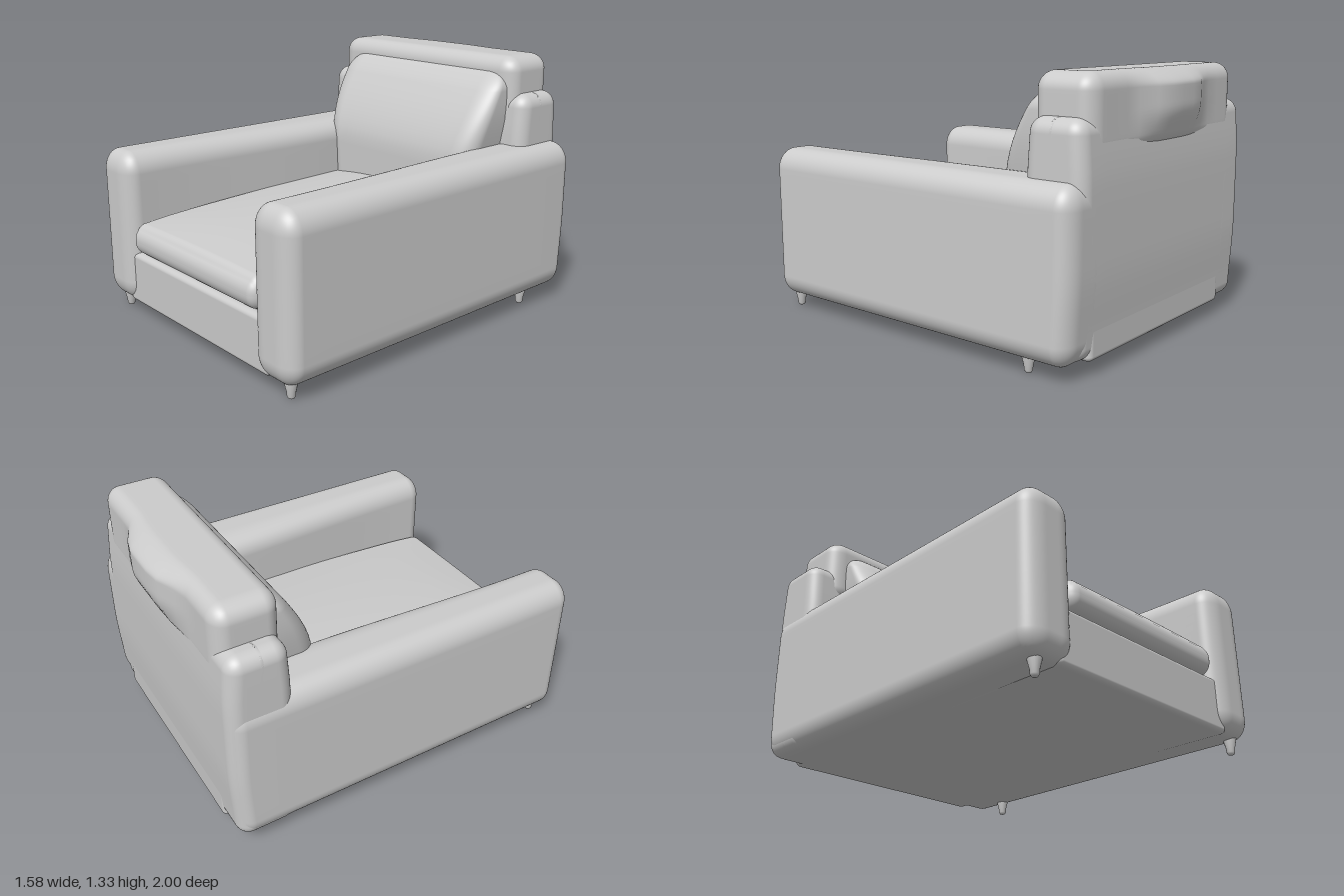
import * as THREE from 'three';
import { mergeVertices } from 'three/addons/utils/BufferGeometryUtils.js';

const N = 28; // segments per box edge
const C = 8;  // segments given to each rounded corner
const smooth = THREE.MathUtils.smoothstep;
const material = new THREE.MeshStandardMaterial({ color: 0xcccccc });

// Upholstered block: min and max corners, a corner radius per axis, optional warp of its vertices
function softBox(name, min, max, radii, warp) {
  const box = new THREE.BoxGeometry(1, 1, 1, N, N, N);
  box.deleteAttribute('uv');
  box.deleteAttribute('normal');
  const g = mergeVertices(box);
  const pos = g.attributes.position;
  const v = new THREE.Vector3();
  for (let i = 0; i < pos.count; i++) {
    const base = [], d = [];
    for (let a = 0; a < 3; a++) {
      const k = Math.round((pos.getComponent(i, a) + 0.5) * N);
      const lo = min[a] + radii[a], hi = max[a] - radii[a];
      if (k < C) { base[a] = lo; d[a] = -Math.tan((1 - k / C) * Math.PI / 4); }
      else if (k > N - C) { base[a] = hi; d[a] = Math.tan((k - N + C) / C * Math.PI / 4); }
      else { base[a] = lo + (hi - lo) * (k - C) / (N - 2 * C); d[a] = 0; }
    }
    const len = Math.hypot(...d);
    const s = len > 0 ? Math.max(...d.map(Math.abs)) / len : 0;
    v.set(...base.map((b, a) => b + d[a] * s * radii[a]));
    if (warp) warp(v);
    pos.setXYZ(i, v.x, v.y, v.z);
  }
  g.computeVertexNormals();
  const mesh = new THREE.Mesh(g, material);
  mesh.name = name;
  return mesh;
}

function leg(name, x, z) {
  const profile = [[0, 0], [0.014, 0.002], [0.02, 0.012], [0.022, 0.035], [0.033, 0.08], [0.036, 0.14]];
  const g = new THREE.LatheGeometry(profile.map(p => new THREE.Vector2(...p)), 16);
  const mesh = new THREE.Mesh(g, material);
  mesh.name = name;
  mesh.position.set(x, 0, z);
  return mesh;
}

export function createModel() {
  const group = new THREE.Group();
  group.name = 'armchair';

  // Base under the seat
  group.add(softBox('base', [-0.6, 0.07, -0.93], [0.6, 0.345, 0.96], [0.03, 0.025, 0.03]));

  // Arms, whose inner faces swell towards the back
  for (const side of [-1, 1]) {
    const min = side < 0 ? [-0.79, 0.07, -0.945] : [0.51, 0.07, -0.945];
    const max = side < 0 ? [-0.51, 0.87, 0.99] : [0.79, 0.87, 0.99];
    group.add(softBox(side < 0 ? 'rightArm' : 'leftArm', min, max, [0.1, 0.11, 0.08], v => {
      const inner = 1 - smooth(Math.abs(v.x), 0.51, 0.68);
      v.x -= side * 0.06 * inner * (1 - smooth(v.z, -0.5, 0.9));
      // softer lower back corner
      v.z += 0.02 * (1 - smooth(v.y, 0.07, 0.5)) * (1 - smooth(v.z, -0.94, -0.6));
    }));
  }

  // Back frame, reaching further out on the right than on the left
  group.add(softBox('backFrame', [-0.78, 0.075, -0.945], [0.69, 1.135, -0.62], [0.07, 0.07, 0.07], v => {
    const t = smooth(v.y, 0.85, 1.13);
    v.z += (v.z > -0.78 ? -0.015 : 0.015) * t;
    if (v.z < -0.78) v.z += 0.02 * (1 - smooth(v.y, 0.07, 0.5));
  }));

  // Top roll of the back with a hump behind
  group.add(softBox('backRoll', [-0.675, 0.95, -0.935], [0.62, 1.325, -0.615], [0.09, 0.08, 0.075], v => {
    const across = smooth(v.x, -0.4, -0.15) * (1 - smooth(v.x, 0.08, 0.28));
    const up = smooth(v.y, 0.93, 1.16) * (1 - smooth(v.y, 1.25, 1.34) * 0.8);
    if (v.z < -0.8) v.z -= 0.07 * across * up;
  }));

  // Back cushion leaning out towards the seat
  group.add(softBox('backCushion', [-0.58, 0.45, -0.8], [0.58, 1.25, -0.36], [0.12, 0.1, 0.1], v => {
    const t = THREE.MathUtils.clamp((v.y - 0.8) / 0.45, 0, 1);
    const front = THREE.MathUtils.clamp((v.z + 0.8) / 0.44, 0, 1);
    v.z -= 0.23 * Math.pow(t, 1.5) * front;
    v.x *= 1 - 0.12 * (1 - smooth(v.y, 0.55, 1.1));
  }));

  // Seat cushion, crowned and rising towards the back
  group.add(softBox('seatCushion', [-0.52, 0.35, -0.7], [0.52, 0.5, 0.975], [0.05, 0.07, 0.06], v => {
    const top = smooth(v.y, 0.38, 0.5);
    const depth = THREE.MathUtils.clamp((0.95 - v.z) / 1.3, 0, 1);
    const crown = 1 - Math.pow(Math.abs(v.x) / 0.52, 2);
    v.y += top * (0.06 * Math.sqrt(depth) + 0.045 * crown * Math.sqrt(depth));
  }));

  // Feet
  group.add(leg('frontRightLeg', -0.69, 0.91));
  group.add(leg('frontLeftLeg', 0.695, 0.91));
  group.add(leg('backLeftLeg', 0.695, -0.67));
  return group;
}
